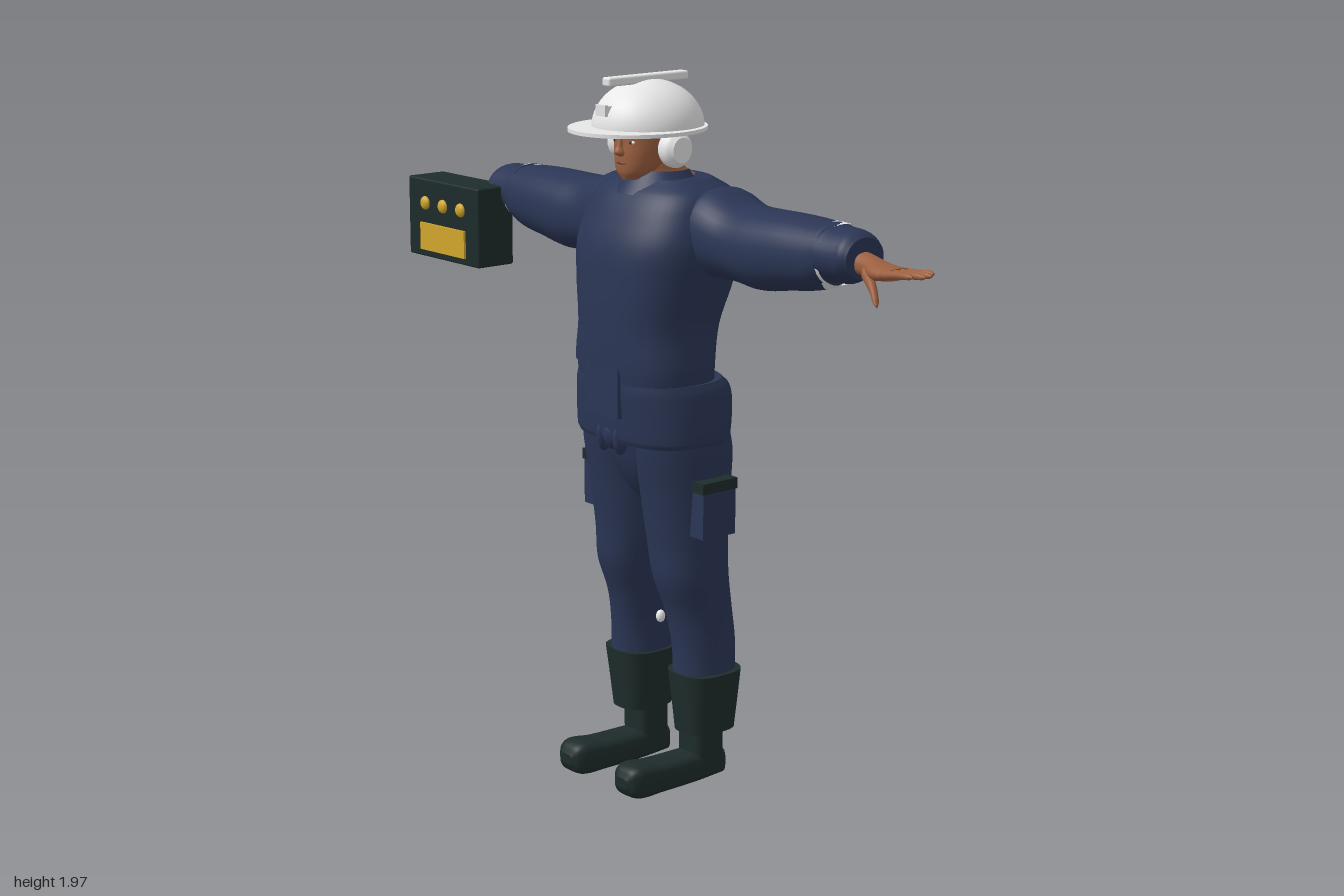
import * as THREE from 'three';
import { RoundedBoxGeometry } from 'three/addons/geometries/RoundedBoxGeometry.js';

const mat = (name, color, side = THREE.FrontSide) => {
  const m = new THREE.MeshStandardMaterial({ color, side });
  m.name = name;
  return m;
};

// Smooth interpolation of section rows [p, centreU, centreV, radiusU, radiusV]
function sectionAt(rows, p) {
  const last = rows.length - 1;
  let i = 0;
  while (i < last - 1 && p > rows[i + 1][0]) i++;
  const h = rows[i + 1][0] - rows[i][0], t = (p - rows[i][0]) / h;
  const slope = (j, k) => {
    const a = rows[Math.max(j - 1, 0)], b = rows[Math.min(j + 1, last)];
    return (b[k] - a[k]) / (b[0] - a[0]) * h;
  };
  const t2 = t * t, t3 = t2 * t;
  return [1, 2, 3, 4].map(k =>
    (2 * t3 - 3 * t2 + 1) * rows[i][k] + (t3 - 2 * t2 + t) * slope(i, k) +
    (3 * t2 - 2 * t3) * rows[i + 1][k] + (t3 - t2) * slope(i + 1, k));
}

// Closed body through superellipse sections; axis y uses (x,z), x uses (z,y), z uses (y,x)
const place = {
  y: (p, u, v) => [u, p, v],
  x: (p, u, v) => [p, v, u],
  z: (p, u, v) => [v, u, p],
};
function loft(rows, axis = 'y', n = 2, seg = 32, sub = 5, caps = true) {
  const pos = [], idx = [], rings = (rows.length - 1) * sub;
  const ring = p => {
    const [cu, cv, ru, rv] = sectionAt(rows, p), start = pos.length / 3;
    for (let k = 0; k < seg; k++) {
      const a = k / seg * Math.PI * 2, c = Math.cos(a), s = Math.sin(a);
      pos.push(...place[axis](p, cu + ru * Math.sign(c) * Math.abs(c) ** (2 / n),
        cv + rv * Math.sign(s) * Math.abs(s) ** (2 / n)));
    }
    return start;
  };
  for (let i = 0; i <= rings; i++) {
    const j = Math.min(Math.floor(i / sub), rows.length - 2), f = i / sub - j;
    ring(rows[j][0] + (rows[j + 1][0] - rows[j][0]) * f);
  }
  for (let i = 0; i < rings; i++) for (let k = 0; k < seg; k++) {
    const a = i * seg + k, b = i * seg + (k + 1) % seg;
    idx.push(a, a + seg, b, b, a + seg, b + seg);
  }
  if (caps) for (const [row, top] of [[rows[0], false], [rows[rows.length - 1], true]]) {
    const s = ring(row[0]), c = pos.length / 3;
    pos.push(...place[axis](row[0], row[1], row[2]));
    for (let k = 0; k < seg; k++) {
      const a = s + k, b = s + (k + 1) % seg;
      idx.push(c, top ? b : a, top ? a : b);
    }
  }
  const g = new THREE.BufferGeometry();
  g.setAttribute('position', new THREE.Float32BufferAttribute(pos, 3));
  g.setIndex(idx);
  g.computeVertexNormals();
  return g;
}

function mirrorX(geo) {
  const g = geo.clone(), p = g.attributes.position, nrm = g.attributes.normal, ix = g.index;
  for (let i = 0; i < p.count; i++) {
    p.setX(i, -p.getX(i));
    nrm.setX(i, -nrm.getX(i));
  }
  for (let i = 0; i < ix.count; i += 3) {
    const b = ix.getX(i + 1);
    ix.setX(i + 1, ix.getX(i + 2));
    ix.setX(i + 2, b);
  }
  return g;
}

const box = (w, h, d, x, y, z) => new THREE.BoxGeometry(w, h, d).translate(x, y, z);
const ball = (rx, ry, rz, x, y, z) => new THREE.SphereGeometry(1, 24, 16).scale(rx, ry, rz).translate(x, y, z);

export function createModel() {
  const model = new THREE.Group();
  const navy = mat('navy cloth', 0x2b3655, THREE.DoubleSide);
  const dark = mat('dark green rubber', 0x1e2c2b);
  const skin = mat('skin', 0x9c6040);
  const white = mat('white', 0xe9e9e9, THREE.DoubleSide);
  const yellow = mat('yellow', 0xd2a52c);
  const lipTone = mat('lip brown', 0x7c4433);
  const add = (name, geo, m) => {
    const mesh = new THREE.Mesh(geo, m);
    mesh.name = name;
    model.add(mesh);
  };
  const pair = (name, geo, m) => {
    add(name + 'Left', geo, m);
    add(name + 'Right', mirrorX(geo), m);
  };

  // Jacket
  const torso = [
    [1.13, 0, 0, 0.2, 0.148], [1.2, 0, 0.002, 0.203, 0.152], [1.3, 0, -0.01, 0.192, 0.165],
    [1.42, 0, -0.032, 0.215, 0.183], [1.52, 0, -0.042, 0.232, 0.183], [1.6, 0, -0.058, 0.222, 0.168],
    [1.66, 0, -0.07, 0.198, 0.142], [1.695, 0, -0.068, 0.14, 0.095]];
  add('jacketBody', loft(torso, 'y', 2.5, 48), navy);
  add('jacketSkirt', loft([[0.985, 0, -0.025, 0.222, 0.158], [1.0, 0, -0.025, 0.228, 0.164],
    [1.08, 0, -0.027, 0.224, 0.174], [1.13, 0, -0.022, 0.217, 0.173], [1.155, 0, -0.01, 0.207, 0.16]], 'y', 2.6, 48), navy);

  // Front panel, laid just over the jacket
  const panel = new THREE.PlaneGeometry(0.3, 0.41, 16, 16).translate(0, 1.395, 0);
  const pp = panel.attributes.position;
  for (let i = 0; i < pp.count; i++) {
    const [, cz, rx, rz] = sectionAt(torso, pp.getY(i));
    pp.setZ(i, cz + rz * (1 - Math.abs(pp.getX(i) / rx) ** 2.5) ** 0.4 + 0.006);
  }
  panel.computeVertexNormals();
  add('frontPanel', panel, navy);
  add('frontFlap', box(0.135, 0.14, 0.016, 0, 1.13, 0.15), navy);
  add('waistKnot', ball(0.035, 0.045, 0.03, 0, 1.005, 0.115), navy);
  pair('waistFold', ball(0.016, 0.05, 0.025, 0.035, 1.0, 0.12), navy);

  // Collar, open at the back
  add('collar', new THREE.CylinderGeometry(0.085, 0.125, 0.06, 40, 3, true, -2.1, 4.2)
    .translate(0, 1.685, -0.045), navy);

  // Sleeves, cuffs and bands
  pair('sleeve', loft([[0.16, -0.09, 1.56, 0.12, 0.108], [0.21, -0.098, 1.56, 0.127, 0.121],
    [0.3, -0.1, 1.545, 0.12, 0.104], [0.4, -0.095, 1.54, 0.115, 0.107], [0.5, -0.095, 1.548, 0.108, 0.1],
    [0.6, -0.097, 1.554, 0.098, 0.09], [0.645, -0.095, 1.563, 0.088, 0.078]], 'x', 2.2), navy);
  pair('cuff', loft([[0.63, -0.095, 1.567, 0.09, 0.078], [0.66, -0.095, 1.566, 0.088, 0.073],
    [0.71, -0.092, 1.567, 0.08, 0.07], [0.73, -0.09, 1.57, 0.076, 0.062], [0.748, -0.09, 1.567, 0.066, 0.054]], 'x'), navy);
  pair('sleeveBand', loft([[0.612, -0.105, 1.555, 0.099, 0.088], [0.655, -0.104, 1.562, 0.093, 0.079]],
    'x', 2.1, 40, 3, false), white);

  // Hands
  pair('palm', loft([[0.72, -0.09, 1.558, 0.036, 0.03], [0.78, -0.083, 1.552, 0.034, 0.027],
    [0.83, -0.07, 1.548, 0.045, 0.022], [0.89, -0.065, 1.55, 0.045, 0.015]], 'x', 2.3, 24), skin);
  [[-0.103, -0.115, 0.965], [-0.078, -0.083, 0.99], [-0.053, -0.053, 0.998], [-0.03, -0.022, 0.985]].forEach(([z0, z1, tip], i) => {
    const y = 1.553 + i * 0.002;
    pair('finger' + (i + 1), loft([[0.87, z0, 1.55, 0.012, 0.012], [0.93, (z0 + z1) / 2, y, 0.011, 0.01],
      [tip - 0.012, z1, y + 0.003, 0.009, 0.008], [tip, z1, y + 0.003, 0.003, 0.003]], 'x', 2, 12, 3), skin);
  });
  pair('thumb', loft([[0.79, -0.055, 1.54, 0.018, 0.02], [0.84, -0.028, 1.515, 0.014, 0.016],
    [0.877, -0.005, 1.487, 0.01, 0.011], [0.887, 0.002, 1.478, 0.003, 0.004]], 'x', 2, 14, 4), skin);

  // Trousers
  add('trouserSeat', loft([[0.79, 0, -0.05, 0.03, 0.06], [0.86, 0, -0.045, 0.09, 0.105],
    [0.93, 0, -0.04, 0.17, 0.13], [1.03, 0, -0.025, 0.19, 0.14]], 'y', 2.2), navy);
  pair('trouserLeg', loft([[0.3, 0.135, -0.095, 0.075, 0.09], [0.4, 0.132, -0.095, 0.073, 0.094],
    [0.5, 0.124, -0.082, 0.079, 0.098], [0.6, 0.12, -0.058, 0.092, 0.108], [0.7, 0.112, -0.053, 0.102, 0.113],
    [0.85, 0.11, -0.046, 0.111, 0.128], [0.95, 0.111, -0.04, 0.112, 0.14], [1.02, 0.113, -0.03, 0.105, 0.138]], 'y', 2.2), navy);
  pair('thighPocket', box(0.06, 0.13, 0.115, 0.225, 0.803, -0.043), navy);
  pair('pocketFlap', box(0.064, 0.03, 0.123, 0.227, 0.88, -0.043), dark);
  pair('kneeTie', ball(0.012, 0.018, 0.014, 0.046, 0.43, -0.09), white);

  // Boots
  pair('bootShaft', loft([[0.15, 0.135, -0.098, 0.066, 0.082], [0.24, 0.136, -0.097, 0.077, 0.089],
    [0.325, 0.137, -0.095, 0.087, 0.096]], 'y', 2.8), dark);
  pair('bootAnkle', loft([[0.03, 0.12, -0.098, 0.05, 0.052], [0.17, 0.12, -0.098, 0.05, 0.054]], 'y', 4), dark);
  pair('bootFoot', loft([[-0.15, 0.044, 0.12, 0.04, 0.046], [-0.05, 0.043, 0.12, 0.043, 0.051],
    [0.08, 0.044, 0.121, 0.044, 0.053], [0.15, 0.048, 0.122, 0.048, 0.053],
    [0.18, 0.049, 0.122, 0.037, 0.042], [0.193, 0.049, 0.122, 0.015, 0.025]], 'z', 3.5), dark);

  // Head and neck
  add('neck', loft([[1.62, 0, -0.1, 0.1, 0.09], [1.68, 0, -0.08, 0.085, 0.09],
    [1.72, 0, -0.045, 0.064, 0.068], [1.82, 0, -0.03, 0.062, 0.07]]), skin);
  add('head', loft([[1.693, 0, 0.05, 0.022, 0.028], [1.715, 0, 0.038, 0.05, 0.05], [1.76, 0, 0.01, 0.07, 0.081],
    [1.8, 0, -0.005, 0.079, 0.094], [1.87, 0, -0.01, 0.085, 0.1]], 'y', 2.2), skin);
  add('nose', loft([[1.757, 0, 0.086, 0.012, 0.008], [1.767, 0, 0.088, 0.016, 0.021],
    [1.785, 0, 0.088, 0.009, 0.014], [1.815, 0, 0.085, 0.007, 0.008]], 'y', 2, 16), skin);
  add('lips', ball(0.02, 0.005, 0.006, 0, 1.739, 0.087), lipTone);
  pair('eye', ball(0.012, 0.005, 0.005, 0.033, 1.796, 0.078), white);
  pair('iris', ball(0.005, 0.005, 0.004, 0.033, 1.796, 0.081), dark);
  pair('brow', ball(0.018, 0.004, 0.005, 0.034, 1.812, 0.079), dark);
  add('hair', loft([[1.77, 0, -0.055, 0.062, 0.052], [1.8, 0, -0.045, 0.078, 0.074],
    [1.87, 0, -0.04, 0.09, 0.085]]), dark);

  // Helmet with raised ridge and lamp bracket
  add('helmetDome', new THREE.SphereGeometry(1, 48, 20, 0, Math.PI * 2, 0, Math.PI / 2)
    .scale(0.146, 0.128, 0.155).translate(0, 1.828, -0.005), white);
  add('helmetBrim', new THREE.CylinderGeometry(1, 1, 0.01, 48).scale(0.175, 1, 0.195)
    .translate(0, 1.828, 0.03), white);
  add('helmetRidge', new RoundedBoxGeometry(0.032, 0.024, 0.275, 2, 0.006).translate(0, 1.957, 0.003), white);
  add('lampMount', box(0.02, 0.02, 0.05, 0, 1.884, 0.13), white);
  add('lampBracket', box(0.04, 0.03, 0.01, 0, 1.884, 0.153), white);

  // Ear defenders
  pair('earCup', loft([[0.078, -0.01, 1.778, 0.036, 0.04], [0.095, -0.01, 1.778, 0.046, 0.048],
    [0.12, -0.01, 1.778, 0.046, 0.048], [0.137, -0.01, 1.778, 0.032, 0.034]], 'x', 2, 28, 4), white);
  pair('earArm', box(0.012, 0.05, 0.022, 0.118, 1.815, -0.01), white);

  // Instrument case carried at the right hand
  add('instrumentCase', new RoundedBoxGeometry(0.34, 0.23, 0.126, 2, 0.006).translate(-0.83, 1.469, 0.013), dark);
  add('displayPanel', box(0.215, 0.08, 0.008, -0.828, 1.415, 0.079), yellow);
  for (let i = 0; i < 3; i++)
    add('knob' + (i + 1), ball(0.02, 0.02, 0.012, -0.915 + i * 0.086, 1.513, 0.077), yellow);

  return model;
}
